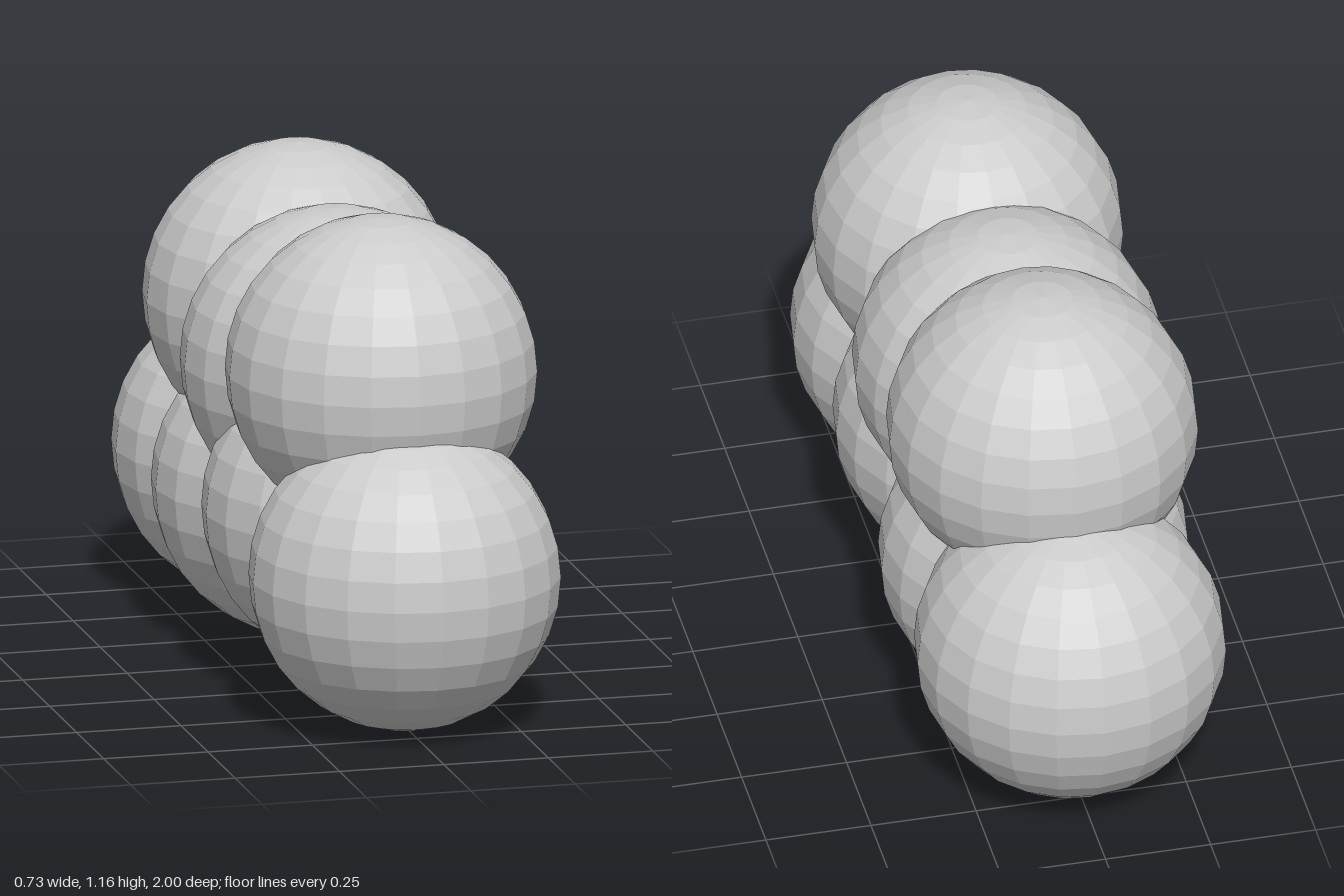
import * as THREE from 'three';

const RADIUS = 0.363;

// Centres of the spheres as [name, y, z], all on the x = 0 plane
const SPHERES = [
  ['lowerFrontSphere', 0.365, 0.637],
  ['lowerMidFrontSphere', 0.42, 0.2],
  ['lowerMidBackSphere', 0.365, -0.267],
  ['lowerBackSphere', 0.365, -0.637],
  ['upperFrontSphere', 0.803, 0.418],
  ['upperMiddleSphere', 0.721, 0],
  ['upperBackSphere', 0.792, -0.35],
];

export function createModel() {
  const group = new THREE.Group();
  group.name = 'sphereCluster';
  const material = new THREE.MeshStandardMaterial({ color: 0xcccccc, flatShading: true });
  const geometry = new THREE.SphereGeometry(RADIUS, 20, 16);

  // Two stacked rows of overlapping faceted spheres
  for (const [name, y, z] of SPHERES) {
    const sphere = new THREE.Mesh(geometry, material);
    sphere.name = name;
    sphere.position.set(0, y, z);
    group.add(sphere);
  }
  return group;
}
